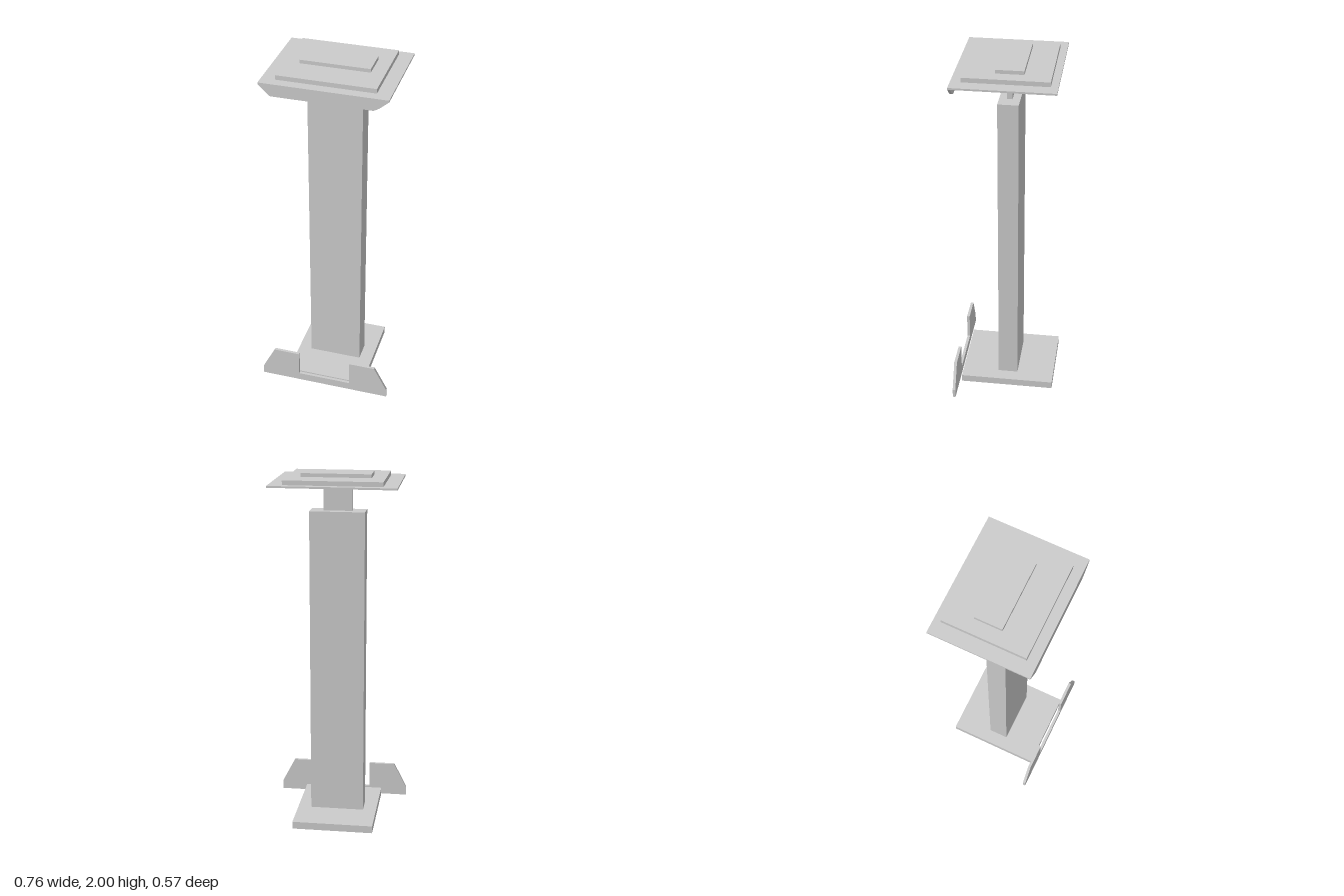
import * as THREE from 'three';

export function createModel() {
  const model = new THREE.Group();
  const material = new THREE.MeshStandardMaterial({ color: 0xcccccc, flatShading: true });

  function add(name, geometry) {
    const mesh = new THREE.Mesh(geometry, material);
    mesh.name = name;
    model.add(mesh);
  }

  // Box given by its limits on each axis
  function slab(name, [x0, x1], [y0, y1], [z0, z1]) {
    const geometry = new THREE.BoxGeometry(x1 - x0, y1 - y0, z1 - z0);
    geometry.translate((x0 + x1) / 2, (y0 + y1) / 2, (z0 + z1) / 2);
    add(name, geometry);
  }

  // Upright panel cut from an outline in x and y
  function panel(name, outline, z0, z1) {
    const shape = new THREE.Shape(outline.map(([x, y]) => new THREE.Vector2(x, y)));
    const geometry = new THREE.ExtrudeGeometry(shape, { depth: z1 - z0, bevelEnabled: false });
    geometry.translate(0, 0, z0);
    add(name, geometry);
  }

  // Base, column and neck
  slab('base', [-0.23, 0.227], [0, 0.042], [-0.283, 0.254]);
  slab('column', [-0.154, 0.151], [0.042, 1.79], [-0.07, 0.043]);
  slab('neck', [-0.08, 0.077], [1.79, 1.945], [-0.028, 0.001]);

  // Stepped top
  slab('topPlate', [-0.345, 0.343], [1.945, 1.955], [-0.284, 0.267]);
  slab('middleStep', [-0.268, 0.266], [1.955, 1.98], [-0.245, 0.212]);
  slab('upperStep', [-0.192, 0.19], [1.98, 2], [-0.103, 0.048]);

  // Lip hanging from the front edge of the top plate
  panel('frontLip', [
    [-0.345, 1.945], [-0.29, 1.893], [-0.28, 1.886],
    [0.263, 1.886], [0.293, 1.902], [0.343, 1.945],
  ], 0.253, 0.267);

  // Notched panel standing in front of the base
  panel('footPanel', [
    [-0.38, 0], [0.38, 0], [0.38, 0.05], [0.304, 0.196], [0.153, 0.196],
    [0.153, 0.047], [-0.156, 0.047], [-0.156, 0.196], [-0.306, 0.196], [-0.38, 0.05],
  ], 0.267, 0.283);

  return model;
}
